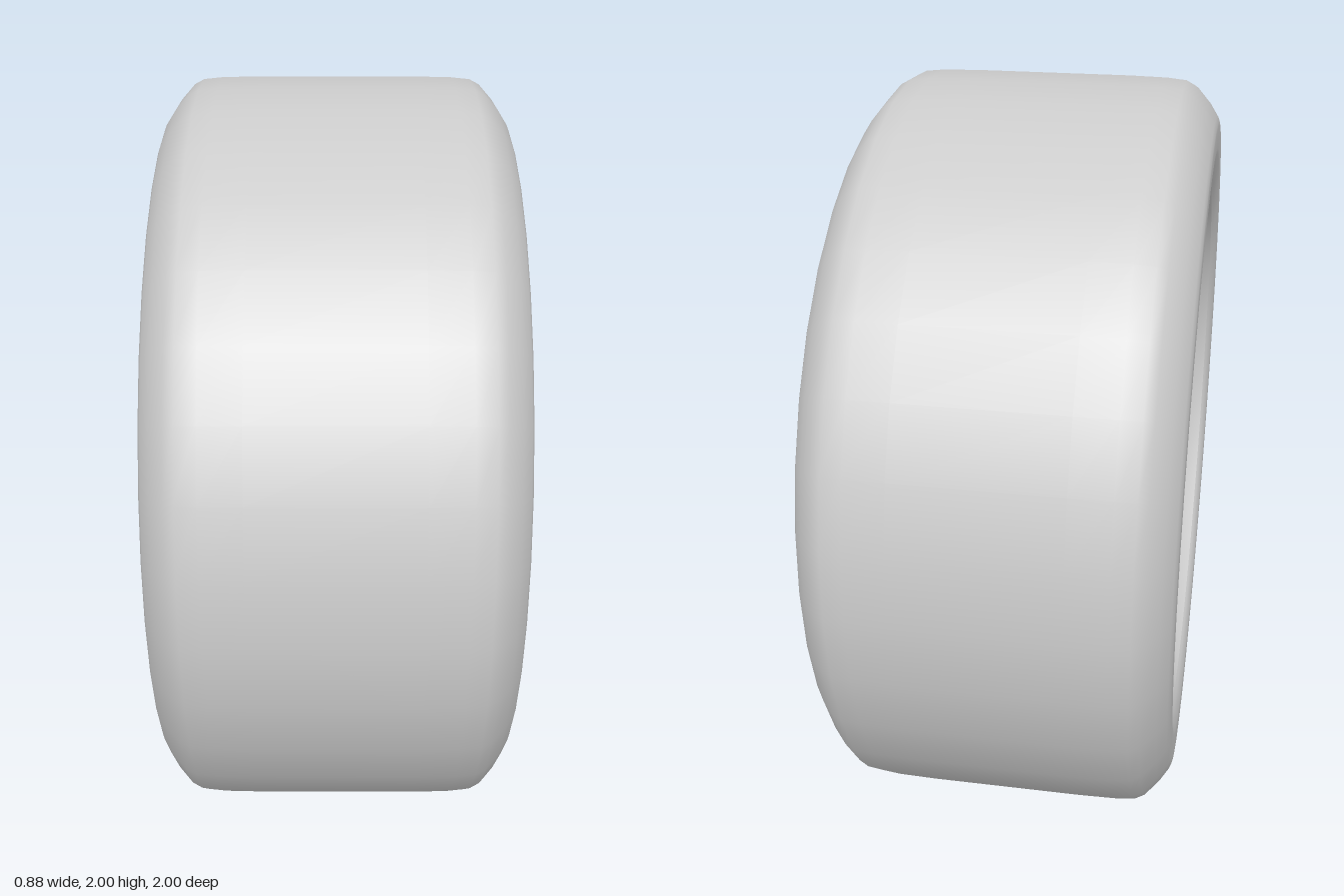
import * as THREE from 'three';
import { toCreasedNormals } from 'three/addons/utils/BufferGeometryUtils.js';

const material = new THREE.MeshStandardMaterial({ color: 0xcccccc, side: THREE.DoubleSide });

function add(parent, name, geometry, x = 0, y = 0, z = 0) {
  const mesh = new THREE.Mesh(geometry, material);
  mesh.name = name;
  mesh.position.set(x, y, z);
  parent.add(mesh);
  return mesh;
}

// Revolve [radius, z] points about the axle; closed profiles run up the outside first
function revolve(points, segments, crease = 0.6) {
  const g = new THREE.LatheGeometry(points.map(p => new THREE.Vector2(...p)), segments);
  g.rotateX(Math.PI / 2);
  return toCreasedNormals(g, crease);
}

// Four-pointed star outline
function starPoints(scale, turn = 0) {
  return Array.from({ length: 8 }, (_, i) => {
    const r = scale * (i % 2 ? 0.19 : 0.485);
    const a = turn + i * Math.PI / 4;
    return new THREE.Vector2(r * Math.cos(a), r * Math.sin(a));
  });
}

// Star plate with a hole in the middle
function star(scale, hole, turn, depth) {
  const shape = new THREE.Shape(starPoints(scale, turn));
  shape.holes.push(hole);
  return new THREE.ExtrudeGeometry(shape, { depth, bevelEnabled: false });
}

// Sloping wall between a front star outline and a smaller, deeper one
function starSlope(outer, zOuter, inner, zInner) {
  const a = starPoints(outer), b = starPoints(inner), positions = [];
  for (let i = 0; i < 8; i++) {
    const j = (i + 1) % 8;
    const [p, q, r, s] = [[a[i], zOuter], [a[j], zOuter], [b[j], zInner], [b[i], zInner]]
      .map(([v, z]) => [v.x, v.y, z]);
    positions.push(...p, ...q, ...r, ...p, ...r, ...s);
  }
  const g = new THREE.BufferGeometry();
  g.setAttribute('position', new THREE.Float32BufferAttribute(positions, 3));
  g.computeVertexNormals();
  return g;
}

// Cylinder lying along the axle
function rod(radius, length, sides) {
  return toCreasedNormals(new THREE.CylinderGeometry(radius, radius, length, sides).rotateX(Math.PI / 2), 0.6);
}

// Square-edged ring or tube along the axle
function tube(rInner, rOuter, zBack, zFront, sides) {
  return revolve([[rInner, zBack], [rOuter, zBack], [rOuter, zFront], [rInner, zFront], [rInner, zBack]], sides);
}

export function createModel() {
  const model = new THREE.Group();
  model.name = 'wheel';
  const wheel = new THREE.Group(); // axle along z, outer face towards +z
  wheel.name = 'wheelAssembly';
  wheel.position.y = 1;
  wheel.rotation.y = Math.PI / 2;
  model.add(wheel);

  // Tyre: gently crowned tread, chamfered shoulders, flat sidewalls tucking in at the rim
  const half = [[1, 0.2], [0.998, 0.3], [0.993, 0.35], [0.98, 0.375], [0.94, 0.411], [0.905, 0.434],
    [0.89, 0.44], [0.88, 0.441], [0.82, 0.441], [0.81, 0.44], [0.785, 0.428], [0.765, 0.405], [0.742, 0.36]];
  const tyre = [...half.map(([r, z]) => [r, -z]).reverse(), ...half];
  add(wheel, 'tyre', revolve(tyre, 36, 0.75));

  // Rim: deep bowl outside, stepped shallow barrel inside
  add(wheel, 'rim', revolve([
    [0.73, -0.425], [0.742, -0.42], [0.742, 0.38], [0.735, 0.385],
    [0.72, 0.35], [0.7, 0.28], [0.685, 0.2], [0.67, 0.1], [0.65, 0.02], [0.615, -0.07], [0.575, -0.135],
    [0.55, -0.14], [0.55, -0.175],
    [0.575, -0.18], [0.6, -0.23], [0.65, -0.275], [0.67, -0.35], [0.705, -0.375], [0.73, -0.425],
  ], 48, 0.8));

  // Mounting ring with six bolts
  add(wheel, 'mountingRing', tube(0.49, 0.56, -0.175, -0.13, 48));
  for (let i = 0; i < 6; i++) {
    const a = Math.PI / 2 + i * Math.PI / 3;
    add(wheel, 'ringBolt', rod(0.016, 0.03, 12), 0.527 * Math.cos(a), 0.527 * Math.sin(a), -0.12);
  }

  // Spokes: a pocketed star in front, an open star turned 45 degrees behind it
  const bore = new THREE.Path().absarc(0, 0, 0.125, 0, Math.PI * 2);
  add(wheel, 'starFrame', star(1, new THREE.Path(starPoints(0.88)), 0, 0.06), 0, 0, -0.16);
  add(wheel, 'starPocketWall', starSlope(0.88, -0.1, 0.77, -0.13));
  add(wheel, 'starFloor', star(0.88, bore, 0, 0.025), 0, 0, -0.155);
  add(wheel, 'rearStarFrame', star(1, new THREE.Path(starPoints(0.88, Math.PI / 4)), Math.PI / 4, 0.035), 0, 0, -0.17);

  // Hub: open sleeve behind, hollow domed cap in front
  add(wheel, 'hubSleeve', tube(0.125, 0.148, -0.17, -0.1, 32));
  add(wheel, 'hubCap', revolve([
    [0, -0.03], [0.075, -0.03], [0.125, -0.1], [0.155, -0.13], [0.157, -0.105], [0.148, -0.08],
    [0.128, -0.05], [0.106, -0.02], [0.085, 0], [0, 0],
  ], 32));

  // Lugs: collar, hex nut with a socket, and a stud sleeve at the back
  for (let i = 0; i < 4; i++) {
    const a = i * Math.PI / 2;
    const lug = new THREE.Group();
    lug.name = 'lug';
    lug.position.set(0.225 * Math.cos(a), 0.225 * Math.sin(a), 0);
    wheel.add(lug);
    add(lug, 'lugCollar', tube(0.042, 0.056, -0.14, -0.095, 20));
    add(lug, 'lugNut', tube(0.024, 0.038, -0.14, -0.085, 6));
    add(lug, 'lugSleeve', rod(0.045, 0.07, 20), 0, 0, -0.175);
    add(lug, 'lugStud', rod(0.03, 0.02, 16), 0, 0, -0.212);
  }
  return model;
}
